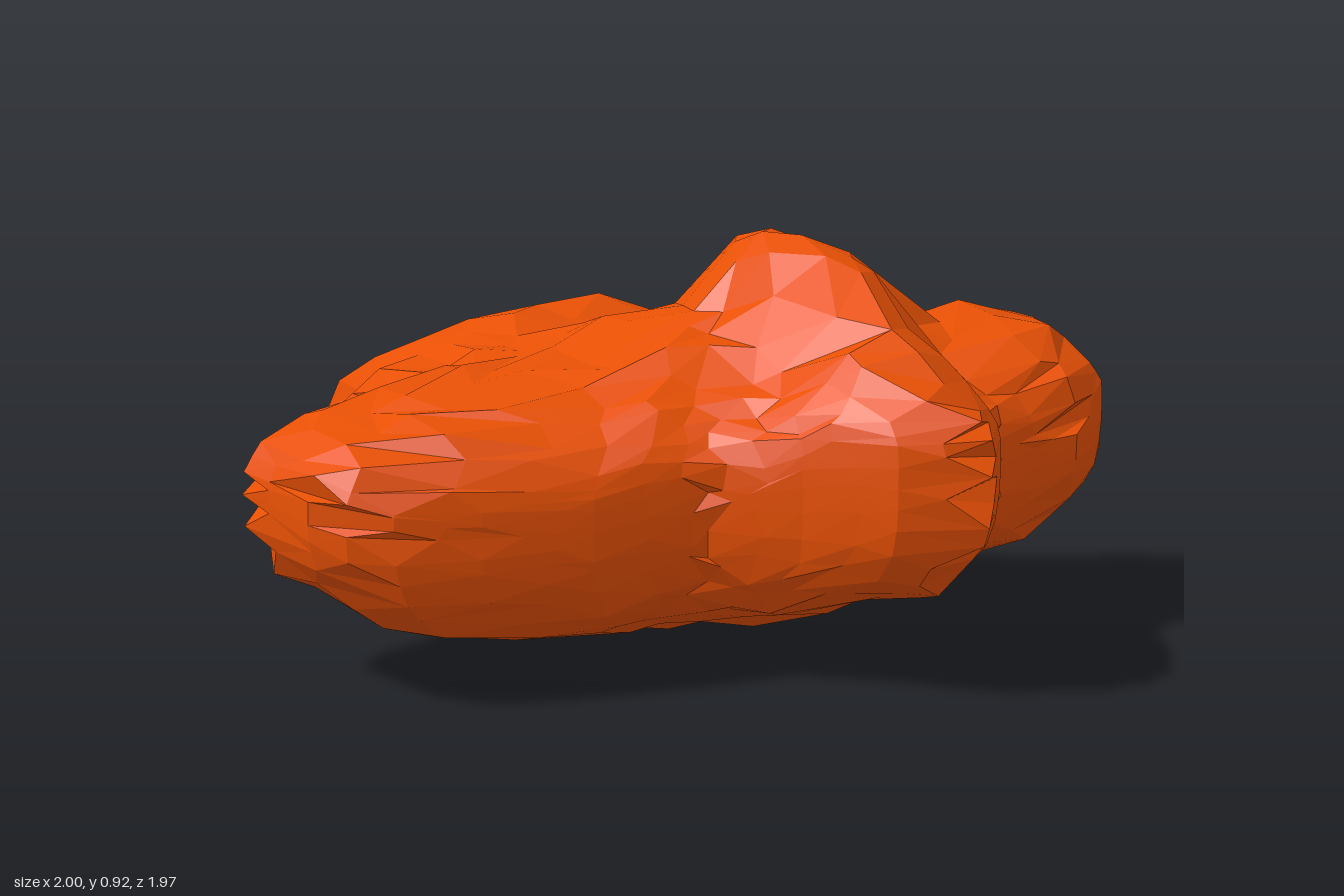
import * as THREE from 'three';
import { mergeVertices } from 'three/addons/utils/BufferGeometryUtils.js';

// Plan outline (x, z), clockwise from the back edge
const outline = [
  [0, -0.99], [0.2, -0.97], [0.38, -0.94], [0.5, -0.93], [0.54, -0.7], [0.53, -0.55],
  [0.49, -0.38], [0.56, -0.2], [0.57, -0.12], [0.66, -0.03], [0.78, 0.03], [0.89, 0.06],
  [0.96, 0.14], [1, 0.3], [0.95, 0.47], [0.82, 0.58], [0.7, 0.6], [0.56, 0.65],
  [0.49, 0.82], [0.38, 0.98], [0.29, 0.95], [0.2, 0.91], [0.06, 0.75], [-0.1, 0.62],
  [-0.36, 0.62], [-0.6, 0.6], [-0.78, 0.57], [-0.87, 0.53], [-0.93, 0.46], [-0.97, 0.3],
  [-1, 0.2], [-0.94, 0.12], [-0.8, 0.09], [-0.7, 0.01], [-0.56, -0.27], [-0.6, -0.45],
  [-0.54, -0.57], [-0.54, -0.8], [-0.48, -0.88], [-0.26, -0.92],
];

// Height guides: x, z, top, bottom
const guides = [
  [0.28, 0.3, 1, 0.09], [0.3, 0.06, 0.95, 0.08], [0.32, 0.48, 0.94, 0.12], [0.22, 0.2, 0.96, 0.08], // crest
  [0.3, 0.65, 0.83, 0.17], [0.36, 0.88, 0.78, 0.18], // nose
  [0.52, 0.3, 0.73, 0.15], [0.52, 0.55, 0.68, 0.18], [0.5, 0.08, 0.7, 0.13],
  [0.72, 0.3, 0.8, 0.17], [0.9, 0.3, 0.8, 0.2], // right arm
  [0.05, 0.3, 0.75, 0.08], [0, 0.05, 0.74, 0.08], [0.02, 0.55, 0.68, 0.12], // middle
  [0.3, -0.15, 0.67, 0.06], [0.5, -0.1, 0.64, 0.12],
  [-0.3, 0.2, 0.69, 0.09], [-0.4, 0.5, 0.67, 0.1], [-0.65, 0.3, 0.68, 0.09], [-0.9, 0.3, 0.69, 0.15], // left arm
  [-0.3, -0.2, 0.67, 0.08], [0.1, -0.35, 0.65, 0.06], [0.45, -0.45, 0.59, 0.07],
  [-0.1, -0.65, 0.71, 0.05], [0.15, -0.65, 0.72, 0.03], [-0.45, -0.65, 0.64, 0.08], [0.45, -0.75, 0.6, 0.01], // back lobe
  [0, -0.9, 0.64, 0.01], [0.25, -0.85, 0.66, -0.05], [-0.45, -0.85, 0.61, 0.05],
];

const centre = [0.12, 0.12];
const corners = outline.map(([x, z]) => [x - centre[0], z - centre[1]]);
const cross = (a, b) => a[0] * b[1] - a[1] * b[0];

// Distance-weighted blend of the guides
function heights(x, z) {
  let sum = 0, top = 0, bottom = 0;
  for (const [gx, gz, t, b] of guides) {
    const w = 1 / (((x - gx) ** 2 + (z - gz) ** 2) ** 1.8 + 0.0002);
    sum += w; top += w * t; bottom += w * b;
  }
  return [top / sum, bottom / sum];
}

// Point where a ray from the centre meets the outline, caught by close corners
function rimPoint(angle) {
  const ray = [Math.cos(angle), Math.sin(angle)];
  let hit = [0, 0];
  for (let i = 0; i < corners.length; i++) {
    const a = corners[i], b = corners[(i + 1) % corners.length];
    const length = Math.hypot(...a);
    if (Math.abs(cross(a, ray)) < 0.05 * length && a[0] * ray[0] + a[1] * ray[1] > 0) return a;
    const edge = [b[0] - a[0], b[1] - a[1]];
    const t = cross(a, edge) / cross(ray, edge), u = cross(a, ray) / cross(ray, edge);
    if (t > 0 && u >= 0 && u <= 1) hit = [ray[0] * t, ray[1] * t];
  }
  return hit;
}

let seed = 17;
function jitter(amount) {
  seed = (seed * 16807) % 2147483647;
  return (seed / 2147483647 - 0.5) * 2 * amount;
}

export function createModel() {
  const group = new THREE.Group();

  // Faceted ball with its points moved onto the outline and height guides
  const ball = new THREE.IcosahedronGeometry(1, 8);
  ball.deleteAttribute('uv');
  ball.deleteAttribute('normal');
  const geometry = mergeVertices(ball, 1e-4);
  const points = geometry.attributes.position;
  const v = new THREE.Vector3();
  const round = 3;
  for (let i = 0; i < points.count; i++) {
    v.fromBufferAttribute(points, i);
    v.x += jitter(0.035);
    v.y += jitter(0.035);
    v.z += jitter(0.035);
    v.normalize();
    const s = Math.hypot(v.x, v.z);
    const scale = (s ** round + Math.abs(v.y) ** round) ** (-1 / round);
    const [rx, rz] = rimPoint(Math.atan2(v.z, v.x));
    const x = centre[0] + rx * s * scale, z = centre[1] + rz * s * scale;
    const [top, bottom] = heights(x, z);
    // The widest level sinks towards the back
    const level = 0.57 - 0.24 * THREE.MathUtils.smoothstep(-z, 0.2, 0.95);
    const mid = THREE.MathUtils.lerp(bottom, top, level);
    const y = mid + v.y * scale * (v.y > 0 ? top - mid : mid - bottom);
    points.setXYZ(i, x, Math.max(0, y + jitter(0.012)), z);
  }
  geometry.computeVertexNormals();

  const rock = new THREE.Mesh(geometry, new THREE.MeshStandardMaterial({ color: 0xe85005, flatShading: true }));
  rock.name = 'boulder';
  group.add(rock);
  return group;
}
